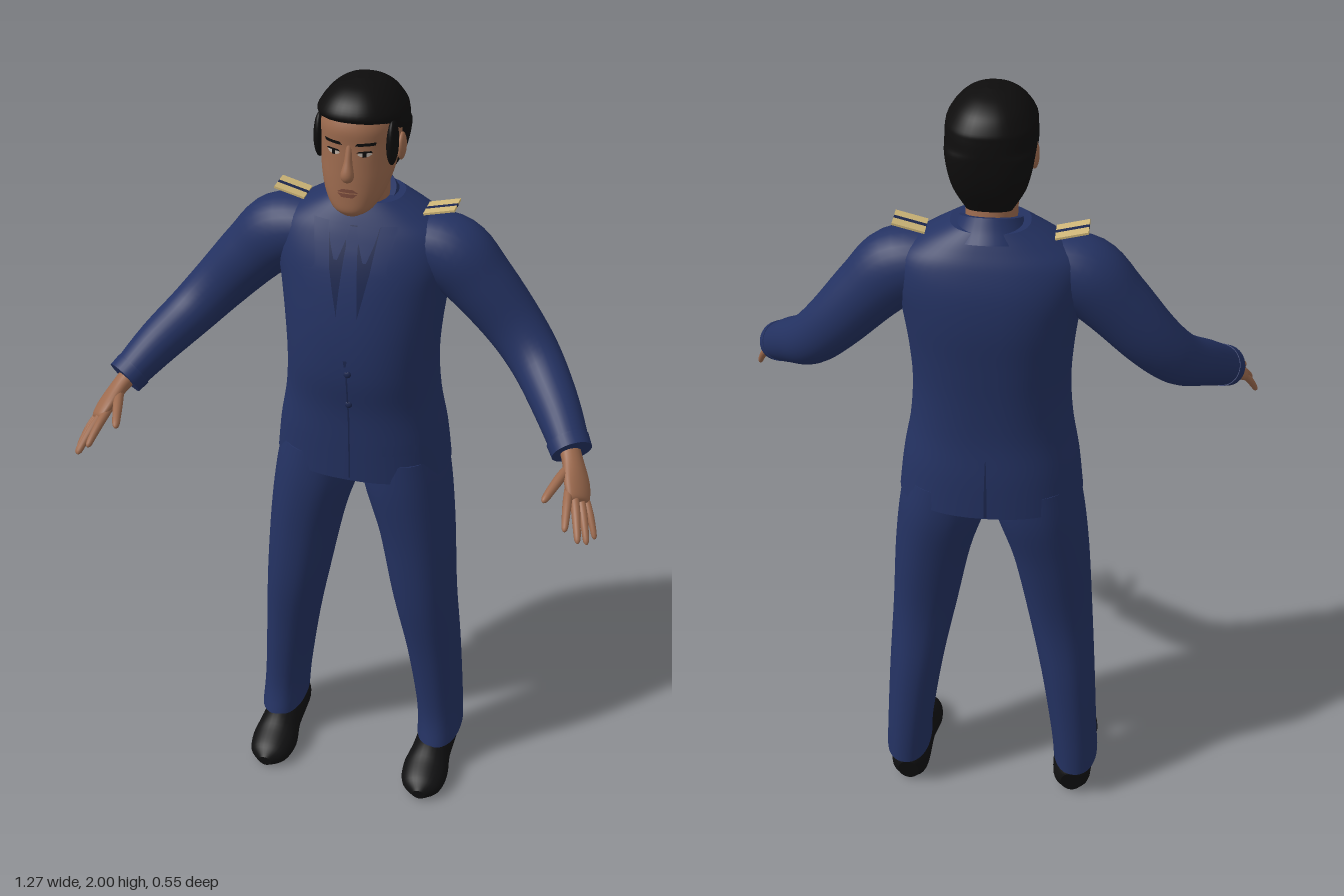
import * as THREE from 'three';

const paint = (name, color, open) => {
  const m = new THREE.MeshStandardMaterial({ color });
  m.name = name;
  if (open) m.side = THREE.DoubleSide;
  return m;
};
const V = (x, y, z) => new THREE.Vector3(x, y, z);

// Smooth interpolation through rows of key values
function refine(keys, steps) {
  const out = [], last = keys.length - 1;
  for (let i = 0; i < last; i++) {
    const p = [keys[Math.max(0, i - 1)], keys[i], keys[i + 1], keys[Math.min(last, i + 2)]];
    for (let k = 0; k < steps; k++) {
      const t = k / steps;
      out.push(p[1].map((b, c) => {
        const a = p[0][c], d = p[2][c], e = p[3][c];
        return b + 0.5 * t * (d - a + t * (2 * a - 5 * b + 4 * d - e + t * (3 * (b - d) + e - a)));
      }));
    }
  }
  out.push(keys[last]);
  return out;
}

// Closed skin over rings of points, with flat end caps
function skin(rings) {
  const n = rings[0].length, pos = [], idx = [];
  rings.forEach(r => r.forEach(p => pos.push(p.x, p.y, p.z)));
  for (let i = 0; i < rings.length - 1; i++) for (let j = 0; j < n; j++) {
    const a = i * n + j, b = i * n + (j + 1) % n;
    idx.push(a, b, b + n, a, b + n, a + n);
  }
  [rings[0], rings[rings.length - 1]].forEach((r, end) => {
    const c = pos.length / 3, mid = V(0, 0, 0);
    r.forEach(p => mid.addScaledVector(p, 1 / n));
    [mid, ...r].forEach(p => pos.push(p.x, p.y, p.z));
    for (let j = 0; j < n; j++) {
      const a = c + 1 + j, b = c + 1 + (j + 1) % n;
      end ? idx.push(c, a, b) : idx.push(c, b, a);
    }
  });
  return finish(pos, idx);
}
function finish(pos, idx) {
  const g = new THREE.BufferGeometry();
  g.setAttribute('position', new THREE.Float32BufferAttribute(pos, 3));
  g.setIndex(idx);
  g.computeVertexNormals();
  return g;
}
const bend = (v, n) => Math.sign(v) * Math.abs(v) ** (2 / n);

// Horizontal rings: keys are [y, centre x, half width, front z, back z]
function stack(keys, n, sides = 40) {
  const rows = refine(keys, 5);
  const rings = rows.map(([y, cx, hw, f, b]) => Array.from({ length: sides }, (_, j) => {
    const a = j / sides * Math.PI * 2;
    return V(cx + Math.max(hw, 0.002) * bend(Math.sin(a), n), y, (f + b) / 2 + (f - b) / 2 * bend(Math.cos(a), n));
  }));
  return { geometry: skin(rings), rows, n };
}

// Swept limb: keys are [x, y, z, radius across, radius along ref]
function limb(keys, ref = V(0, 0, 1), sides = 20, steps = 5) {
  const rows = refine(keys, steps), at = i => V(...rows[Math.min(rows.length - 1, Math.max(0, i))].slice(0, 3));
  return skin(rows.map((r, i) => {
    const t = at(i + 1).sub(at(i - 1)).normalize();
    const v = ref.clone().addScaledVector(t, -ref.dot(t)).normalize(), u = t.clone().cross(v);
    return Array.from({ length: sides }, (_, j) => {
      const a = j / sides * Math.PI * 2;
      return at(i).addScaledVector(u, Math.sin(a) * r[3]).addScaledVector(v, Math.cos(a) * r[4]);
    });
  }));
}

// Thin cloth laid on a stacked body: keys are [y, x from, x to]
function drape(body, keys, lift, face = 1) {
  const rows = refine(keys, 4), cols = 8, pos = [], idx = [];
  rows.forEach(([y, x0, x1], i) => {
    const k = Math.max(1, body.rows.findIndex(r => r[0] >= y)), lo = body.rows[k - 1], hi = body.rows[k];
    const t = (y - lo[0]) / (hi[0] - lo[0]), [, , hw, f, b] = lo.map((a, c) => a + (hi[c] - a) * t);
    for (let j = 0; j <= cols; j++) {
      const x = x0 + (x1 - x0) * j / cols, q = Math.max(0, 1 - Math.abs(x / hw) ** body.n) ** (1 / body.n);
      pos.push(x, y, (f + b) / 2 + face * ((f - b) / 2 * q + lift));
      if (i && j) {
        const d = i * (cols + 1) + j, c = d - cols - 1;
        (x1 > x0) === (face > 0) ? idx.push(c - 1, c, d, c - 1, d, d - 1) : idx.push(c - 1, d, c, c - 1, d - 1, d);
      }
    }
  });
  return finish(pos, idx);
}

export function createModel() {
  const suit = paint('navy suit', 0x243262, true), shade = paint('dark navy', 0x1c274e, true);
  const skinTone = paint('skin', 0x9c6a4e), lip = paint('lips', 0x7a4a3b, true);
  const hair = paint('black hair', 0x0e0d0d, true), shoe = paint('black leather', 0x101011);
  const gold = paint('gold braid', 0xcdb577), white = paint('eye white', 0xb8aca2, true);
  const model = new THREE.Group();
  const add = (name, geometry, mat, parent = model) => {
    const m = new THREE.Mesh(geometry, mat);
    m.name = name;
    parent.add(m);
    return m;
  };
  const ball = (name, mat, p, r) => {
    const m = add(name, new THREE.SphereGeometry(1, 20, 14), mat);
    m.position.set(...p);
    m.scale.set(...r);
  };

  // Jacket body
  const torso = stack([
    [1.0, 0, .22, .03, -.27], [1.1, 0, .208, .033, -.265], [1.2, 0, .19, .036, -.255], [1.3, 0, .183, .048, -.255],
    [1.4, 0, .188, .045, -.26], [1.5, 0, .2, .03, -.265], [1.58, 0, .213, .01, -.258], [1.64, 0, .203, -.015, -.24],
    [1.68, 0, .15, -.035, -.22], [1.715, 0, .088, -.055, -.2]], 2.35, 48);
  add('jacket', torso.geometry, suit);
  add('collar', limb([[0, 1.665, -.137, .094, .09], [0, 1.69, -.127, .083, .08], [0, 1.718, -.116, .069, .073]], V(0, 0, 1), 32), suit);
  add('shirtFront', drape(torso, [[1.34, -.005, .005], [1.42, -.03, .03], [1.55, -.055, .055], [1.67, -.06, .06]], .003), shade);
  add('tie', drape(torso, [[1.36, -.008, .008], [1.45, -.025, .025], [1.6, -.016, .016], [1.63, -.014, .014], [1.67, -.022, .022]], .009), suit);
  add('jacketEdge', drape(torso, [[1.01, .002, .006], [1.15, .002, .006], [1.33, 0, .004]], .003), shade);
  add('backVent', drape(torso, [[1.005, -.004, .004], [1.08, -.003, .003], [1.16, -.001, .001]], .003, -1), shade);
  add('breastPocket', drape(torso, [[1.475, .075, .125], [1.49, .075, .125]], .005), suit);
  for (const y of [1.32, 1.23]) ball('button', shade, [.004, y, y > 1.3 ? .05 : .04], [.009, .009, .005]);

  // Head, hair and face
  add('neck', limb([[0, 1.62, -.125, .058, .06], [0, 1.7, -.112, .057, .06], [0, 1.8, -.09, .06, .065]]), skinTone);
  const head = stack([
    [1.715, 0, .022, .018, -.03], [1.73, 0, .046, .03, -.06], [1.76, 0, .066, .031, -.1], [1.8, 0, .079, .029, -.14],
    [1.84, 0, .085, .026, -.17], [1.88, 0, .088, .023, -.18], [1.92, 0, .087, .022, -.18], [1.96, 0, .07, 0, -.16],
    [1.985, 0, .03, -.04, -.12]], 2.2);
  add('head', head.geometry, skinTone);
  add('hair', stack([
    [1.755, 0, .05, -.135, -.175], [1.8, 0, .077, -.11, -.194], [1.84, 0, .089, -.1, -.203], [1.88, 0, .096, -.08, -.206],
    [1.9, 0, .098, -.02, -.206], [1.925, 0, .098, .005, -.204], [1.942, 0, .094, .024, -.2], [1.97, 0, .073, .008, -.18],
    [1.99, 0, .045, -.025, -.145], [2, 0, .012, -.07, -.1]], 2.3).geometry, hair);
  add('nose', limb([[0, 1.885, .016, .007, .007], [0, 1.85, .026, .009, .01], [0, 1.82, .034, .015, .014], [0, 1.808, .031, .011, .009]]), skinTone);
  add('upperLip', drape(head, [[1.779, -.024, .024], [1.787, -.012, .012]], .004), lip);
  add('lowerLip', drape(head, [[1.768, -.013, .013], [1.777, -.023, .023]], .005), lip);

  // Finger keys: knuckle, tip, thickness
  const fingers = {
    thumb: [[.548, 1.215, .125], [.513, 1.19, .235], .011], indexFinger: [[.56, 1.19, .18], [.572, 1.15, .275], .0095],
    middleFinger: [[.575, 1.18, .18], [.603, 1.12, .27], .0095], ringFinger: [[.59, 1.165, .172], [.62, 1.1, .243], .009],
    littleFinger: [[.602, 1.155, .16], [.633, 1.09, .205], .008]
  };

  for (const s of [1, -1]) {
    const side = s > 0 ? 'left' : 'right';
    const flip = keys => keys.map(([x, ...rest]) => [s * x, ...rest]);
    const cloth = keys => keys.map(([y, a, b]) => [y, s * a, s * b]);

    // Lapels, shirt collar and pockets
    add(side + 'Lapel', drape(torso, cloth([[1.33, 0, .006], [1.42, .015, .05], [1.52, .036, .098], [1.565, .045, .115],
      [1.58, .048, .085], [1.675, .06, .1]]), .009), suit);
    add(side + 'ShirtCollar', drape(torso, cloth([[1.6, .03, .038], [1.64, .016, .052], [1.675, .008, .06]]), .014), suit);
    add(side + 'Pocket', drape(torso, cloth([[1.09, .085, .165], [1.12, .085, .165]]), .009), suit);

    // Sleeve with cuff
    add(side + 'Sleeve', limb(flip([
      [.12, 1.61, -.12, .07, .08], [.205, 1.585, -.12, .089, .085], [.275, 1.52, -.12, .08, .076], [.36, 1.425, -.113, .07, .064],
      [.425, 1.355, -.08, .063, .06], [.49, 1.295, 0, .055, .055], [.545, 1.237, .082, .044, .048]]), V(0, 0, 1), 28), suit);
    add(side + 'Cuff', limb(flip([[.533, 1.249, .065, .049, .052], [.548, 1.234, .087, .047, .05]]), V(0, 0, 1), 28), suit);

    // Hand
    const hand = new THREE.Group();
    hand.name = side + 'Hand';
    model.add(hand);
    add('palm', limb(flip([[.535, 1.243, .07, .024, .026], [.555, 1.22, .105, .02, .03], [.573, 1.193, .145, .018, .039],
      [.583, 1.175, .175, .013, .034], [.586, 1.17, .183, .005, .022]]), V(s * .04, -.035, -.025)), skinTone, hand);
    for (const [name, [a, b, r]] of Object.entries(fingers)) {
      const on = (t, k) => [...a.map((v, c) => v + (b[c] - v) * t + (c === 1 ? .016 * t * (1 - t) : 0)), r * k, r * k];
      add(name, limb(flip([on(-.15, 1), on(.3, 1.1), on(.7, .95), on(.93, .75), on(1, .25)]), V(0, .3, 1), 12, 3), skinTone, hand);
    }

    // Trouser leg
    add(side + 'TrouserLeg', stack([
      [.1, .228, .059, -.008, -.22], [.2, .221, .06, -.028, -.22], [.4, .2, .069, -.015, -.215], [.6, .173, .082, .008, -.205],
      [.8, .146, .095, .015, -.228], [.95, .115, .109, .02, -.25], [1.05, .1, .105, .015, -.25]].map(([y, x, ...r]) => [y, s * x, ...r]), 2.2).geometry, suit);

    // Shoe, flattened on the ground
    const shoeShape = limb(flip([[.222, .05, -.2, .028, .042], [.222, .055, -.165, .05, .06], [.221, .05, -.05, .053, .062],
      [.22, .036, .02, .063, .05], [.222, .028, .075, .052, .036], [.223, .025, .105, .018, .016]]), V(0, 1, 0), 28);
    const p = shoeShape.attributes.position;
    for (let i = 0; i < p.count; i++) p.setY(i, Math.max(0, p.getY(i)));
    shoeShape.computeVertexNormals();
    add(side + 'Shoe', shoeShape, shoe);

    // Epaulette
    const epaulette = new THREE.Group();
    epaulette.name = side + 'Epaulette';
    for (const [mat, z, d] of [[gold, -.141, .026], [shade, -.122, .012], [gold, -.104, .024]])
      add(mat === gold ? 'braid' : 'stripe', new THREE.BoxGeometry(.074, .005, d), mat, epaulette).position.z = z;
    epaulette.position.set(s * .177, 1.695, 0);
    epaulette.rotation.z = s * .25;
    model.add(epaulette);

    // Ear, sideburn, eye and brow
    ball(side + 'Ear', skinTone, [s * .09, 1.85, -.085], [.01, .032, .021]);
    ball(side + 'Sideburn', hair, [s * .082, 1.878, -.035], [.013, .052, .027]);
    add(side + 'Eye', drape(head, cloth([[1.862, .027, .042], [1.867, .02, .05], [1.872, .027, .044]]), .002), white);
    add(side + 'Iris', drape(head, cloth([[1.861, .031, .039], [1.873, .031, .039]]), .003), hair);
    add(side + 'Lash', drape(head, cloth([[1.871, .018, .052], [1.875, .024, .048]]), .004), hair);
    add(side + 'Brow', drape(head, cloth([[1.886, .014, .056], [1.893, .02, .058]]), .003), hair);
  }
  return model;
}
